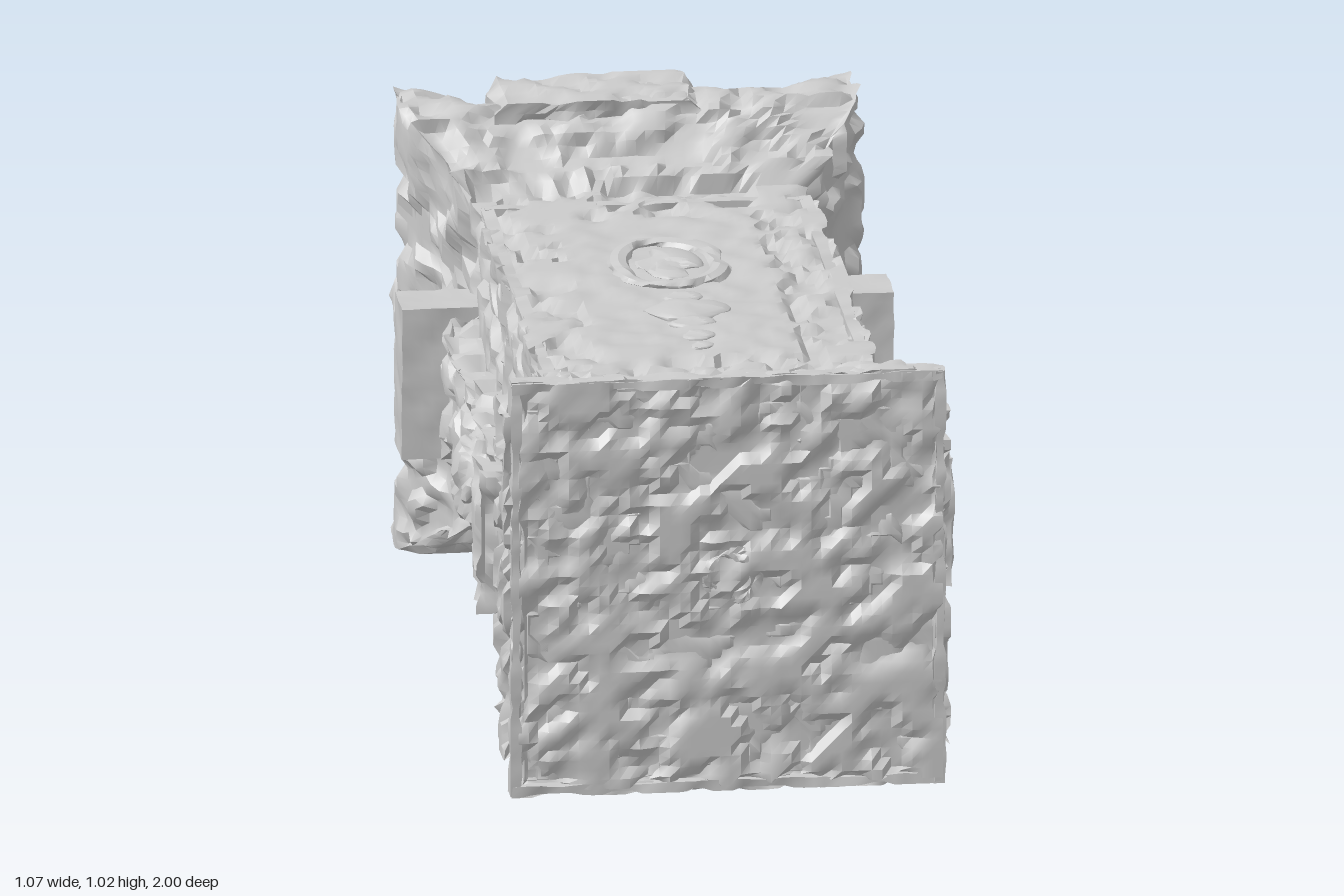
import * as THREE from 'three';
import { mergeVertices, toCreasedNormals } from 'three/addons/utils/BufferGeometryUtils.js';

const material = new THREE.MeshStandardMaterial({ color: 0xcccccc, side: THREE.DoubleSide });
const { lerp, smoothstep, clamp } = THREE.MathUtils;

// Seeded value noise, sharpened into carved-looking ridges
function hash(i, j, k) {
  let n = Math.imul(i, 374761393) ^ Math.imul(j, 668265263) ^ Math.imul(k, 974634777);
  n = Math.imul(n ^ (n >>> 13), 1274126177);
  return ((n ^ (n >>> 16)) >>> 0) / 4294967295;
}
function carving(x, y, z, cell = 0.045) {
  // the lattice is turned so its cells do not line up with the faces
  const p = [0.8 * x + 0.6 * y, 0.8 * y - 0.6 * x + 0.5 * z, z - 0.5 * y].map((q, n) => q / cell + 0.37 * (n + 1));
  const [i, j, k] = p.map(Math.floor);
  const [u, v, w] = p.map((q) => smoothstep(q - Math.floor(q), 0, 1));
  const row = (b, c) => lerp(hash(i, b, c), hash(i + 1, b, c), u);
  const layer = (c) => lerp(row(j, c), row(j + 1, c), v);
  return smoothstep(lerp(layer(k), layer(k + 1), w), 0.38, 0.62);
}

// Presses carving into a geometry along its normals; depthAt may vary by place
function carve(source, depthAt) {
  source.deleteAttribute('uv');
  source.deleteAttribute('normal');
  const geometry = mergeVertices(source, 1e-4);
  geometry.computeVertexNormals();
  const pos = geometry.attributes.position, nor = geometry.attributes.normal;
  for (let i = 0; i < pos.count; i++) {
    const x = pos.getX(i), y = pos.getY(i), z = pos.getZ(i);
    const d = -depthAt(x, y, z) * carving(x, y, z);
    pos.setXYZ(i, x + nor.getX(i) * d, y + nor.getY(i) * d, z + nor.getZ(i) * d);
  }
  return toCreasedNormals(geometry, 0.7);
}

// Square cross-sections [z, half size, centre y] swept front to back
function squareLoft(profile, step, sideSteps) {
  const rings = [];
  profile.forEach((b, n) => {
    if (n === 0) return rings.push(b);
    const a = profile[n - 1];
    const count = Math.max(1, Math.round(Math.hypot(b[0] - a[0], b[1] - a[1]) / step));
    for (let k = 1; k <= count; k++) rings.push(a.map((v, c) => lerp(v, b[c], k / count)));
  });
  const positions = [], index = [], around = sideSteps * 4;
  for (const [z, half, cy] of rings) {
    for (let i = 0; i < around; i++) {
      const t = ((i % sideSteps) / sideSteps) * 2 - 1;
      // scalloped lobes on the rim of the open end
      const rim = smoothstep(-z, 0.86, 1) * smoothstep(half, 0.42, 0.49);
      const h = half - 0.075 * rim * Math.sin(Math.PI * t) ** 2;
      const [x, y] = [[h, t * half], [-t * half, h], [-h, -t * half], [t * half, -h]][Math.floor(i / sideSteps)];
      positions.push(x, y + cy, z);
    }
  }
  for (let j = 0; j < rings.length - 1; j++) {
    for (let i = 0; i < around; i++) {
      const a = j * around + i, b = j * around + ((i + 1) % around);
      index.push(a, a + around, b, b, a + around, b + around);
    }
  }
  const geometry = new THREE.BufferGeometry();
  geometry.setAttribute('position', new THREE.Float32BufferAttribute(positions, 3));
  geometry.setIndex(index);
  return geometry;
}

function add(parent, name, geometry, x = 0, y = 0, z = 0) {
  const mesh = new THREE.Mesh(geometry, material);
  mesh.name = name;
  mesh.position.set(x, y, z);
  parent.add(mesh);
  return mesh;
}

function carvedBox(w, h, d, depth, shape) {
  const seg = (s) => Math.max(1, Math.round(s / 0.022));
  const box = new THREE.BoxGeometry(w, h, d, seg(w), seg(h), seg(d));
  if (shape) {
    const p = box.attributes.position, v = new THREE.Vector3();
    for (let i = 0; i < p.count; i++) {
      shape(v.fromBufferAttribute(p, i));
      p.setXYZ(i, v.x, v.y, v.z);
    }
  }
  return carve(box, () => depth);
}

// Oval medallion with a pendant, lying flat and facing up
function makeMedallion() {
  const group = new THREE.Group();
  group.name = 'medallion';
  const ring = add(group, 'medallionRing', carve(new THREE.TorusGeometry(0.1, 0.022, 8, 48), () => 0.016), 0, 0, -0.1);
  ring.rotation.x = Math.PI / 2;
  ring.scale.set(1.1, 1.55, 0.7);
  const boss = add(group, 'medallionBoss', carve(new THREE.SphereGeometry(0.075, 28, 16), () => 0.025), 0, 0, -0.1);
  boss.scale.set(1, 0.28, 1.5);
  [[0.13, 0.045], [0.23, 0.09], [0.31, 0.05], [0.4, 0.04], [0.47, 0.03]].forEach(([z, r]) => {
    const bead = add(group, 'pendantBead', carve(new THREE.SphereGeometry(r, 18, 10), () => 0.012), 0, 0, z);
    bead.scale.set(1.1, 0.25, 0.8);
  });
  return group;
}

// Side ornament for the +x face: brackets, waisted bar and central boss
function makeSideOrnament() {
  const group = new THREE.Group();
  group.name = 'sideOrnament';
  add(group, 'backBracket', carvedBox(0.2, 0.34, 0.14, 0.004), 0.435, 0.495, -0.555);
  add(group, 'frontBracket', carvedBox(0.15, 0.33, 0.1, 0.02), 0.43, 0.495, 0.58);
  add(group, 'plinthLink', carvedBox(0.12, 0.28, 0.16, 0.025), 0.4, 0.49, 0.69);
  add(group, 'sideBar', carvedBox(0.13, 0.24, 1.04, 0.03, (v) => {
    const t = Math.abs(v.z) / 0.52;
    v.y *= 1 + 0.35 * smoothstep(t, 0.6, 1) - 0.12 * Math.sin(Math.PI * clamp(t * 1.3, 0, 1)) ** 2;
    if (v.x > 0) v.x += 0.015 * Math.cos(v.z * 16);
  }), 0.385, 0.49, 0.02);
  const boss = add(group, 'sideBoss', carve(new THREE.SphereGeometry(0.12, 32, 20), () => 0.025), 0.43, 0.48, 0.15);
  boss.scale.set(0.62, 1, 1.15);
  return group;
}

export function createModel() {
  const model = new THREE.Group();
  model.name = 'carvedPedestal';

  // Plinth, square shaft, flared open end, funnel and hollow core in one sweep
  const profile = [
    [0.95, 0, 0.495], [0.95, 0.44, 0.495], [0.985, 0.45, 0.495], [0.985, 0.47, 0.495], [0.925, 0.472, 0.495],
    [0.91, 0.43, 0.495], [0.84, 0.42, 0.495], [0.8, 0.4, 0.5], [0.76, 0.373, 0.5],
    [-0.62, 0.373, 0.5], [-0.65, 0.42, 0.505], [-0.7, 0.43, 0.51], [-0.76, 0.49, 0.515],
    [-0.8, 0.506, 0.515], [-0.98, 0.506, 0.515], [-0.995, 0.495, 0.515], [-0.995, 0.455, 0.515],
    [-0.91, 0.43, 0.515], [-0.88, 0.395, 0.51], [-0.78, 0.375, 0.51], [-0.75, 0.345, 0.505],
    [-0.64, 0.32, 0.5], [0.8, 0.32, 0.5], [0.8, 0, 0.5],
  ];
  add(model, 'shaft', carve(squareLoft(profile, 0.024, 42), (x, y, z) => {
    const reach = Math.max(Math.abs(x), Math.abs(y - 0.5));
    // smooth hollow core, and smooth top and bottom panels inside a carved border
    if (reach < 0.34) return 0.004;
    if (Math.abs(y - 0.5) > 0.36 && Math.abs(x) < 0.22 && z > -0.45 && z < 0.55) return 0.006;
    return z < -0.95 || z > 0.97 ? 0.014 : 0.024;
  }));

  // Front face: carved plate, raised frame and central rosette
  add(model, 'frontPlate', carvedBox(0.92, 0.92, 0.04, 0.022), 0.005, 0.5, 0.972);
  const rosette = add(model, 'rosette', carve(new THREE.TorusGeometry(0.05, 0.018, 10, 32), () => 0.02), 0.01, 0.51, 0.978);
  rosette.scale.z = 0.7;
  [-1, 1].forEach((s) => {
    add(model, 'frontFrameRail', carvedBox(0.94, 0.025, 0.05, 0.008), 0, 0.495 + s * 0.455, 0.966);
    add(model, 'frontFrameStile', carvedBox(0.025, 0.93, 0.05, 0.008), s * 0.46, 0.495, 0.966);
    add(model, 'plinthSideBand', carvedBox(0.12, 0.78, 0.2, 0.028), s * 0.425, 0.495, 0.87);
  });

  // Border mouldings and medallion on the top and bottom panels
  [-1, 1].forEach((s) => {
    const panel = new THREE.Group();
    panel.name = s > 0 ? 'topPanel' : 'bottomPanel';
    [-1, 1].forEach((e) => {
      add(panel, 'panelSideMoulding', carvedBox(0.03, 0.02, 1.3, 0.006), e * 0.345, -0.006, 0.1);
      add(panel, 'panelEndMoulding', carvedBox(0.7, 0.02, 0.03, 0.006), 0, -0.006, 0.1 + e * 0.64);
    });
    panel.add(makeMedallion());
    panel.position.y = 0.5 + s * 0.368;
    panel.scale.y = s;
    model.add(panel);
  });

  // Crest on top of the flared end
  add(model, 'crest', carvedBox(0.46, 0.05, 0.2, 0.015, (v) => { if (v.y > 0) v.x *= 0.88; }), -0.07, 1.005, -0.87);

  // Mirrored side ornaments, with a lip on one front bracket only
  [-1, 1].forEach((s) => {
    const ornament = makeSideOrnament();
    ornament.scale.x = s;
    model.add(ornament);
  });
  add(model, 'frontBracketLip', carvedBox(0.16, 0.3, 0.05, 0.01), 0.455, 0.495, 0.6);
  return model;
}
